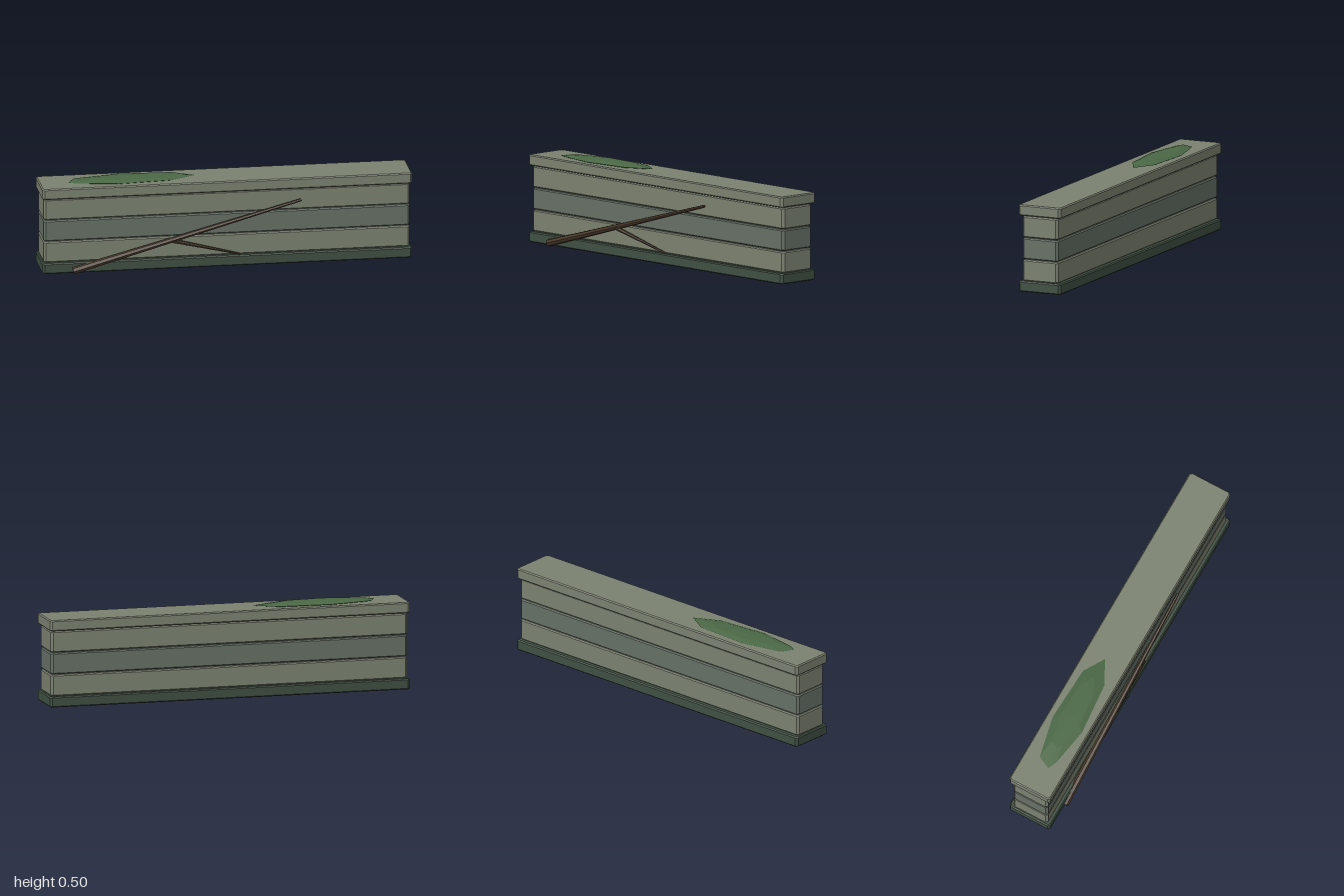
import * as THREE from 'three';

const mat = (color) => new THREE.MeshStandardMaterial({ color, flatShading: true });
const stone = mat(0x7b8270), midStone = mat(0x667066), plinthStone = mat(0x3f4f42);
const wood = mat(0x4a3a2b), moss = mat(0x4a6845);

// Stone slab with chamfered corners and edges, between heights y0 and y1
function slab(name, halfX, halfZ, y0, y1, material) {
  const c = 0.012, b = 0.006;
  const plan = new THREE.Shape([
    [halfX - c, -halfZ], [halfX, -halfZ + c], [halfX, halfZ - c], [halfX - c, halfZ],
    [-halfX + c, halfZ], [-halfX, halfZ - c], [-halfX, -halfZ + c], [-halfX + c, -halfZ],
  ].map(([x, y]) => new THREE.Vector2(x, y)));
  const geo = new THREE.ExtrudeGeometry(plan, {
    depth: y1 - y0 - 2 * b, bevelThickness: b, bevelSize: b, bevelOffset: -b, bevelSegments: 1,
  });
  geo.rotateX(-Math.PI / 2).translate(0, y0 + b, -0.01);
  const mesh = new THREE.Mesh(geo, material);
  mesh.name = name;
  return mesh;
}

// Tapered stick from one point to another
function stick(name, from, to, r0, r1) {
  const a = new THREE.Vector3(...from), b = new THREE.Vector3(...to);
  const dir = b.clone().sub(a);
  const mesh = new THREE.Mesh(new THREE.CylinderGeometry(r1, r0, dir.length(), 7), wood);
  mesh.position.copy(a).lerp(b, 0.5);
  mesh.quaternion.setFromUnitVectors(new THREE.Vector3(0, 1, 0), dir.normalize());
  mesh.name = name;
  return mesh;
}

// Low irregular mound: scaled copies of one outline, closed by a centre point at each end
function mossPatch() {
  const outline = [
    [-0.845, 0.02], [-0.8, 0.042], [-0.58, 0.08], [-0.29, 0.055],
    [-0.155, -0.015], [-0.27, -0.085], [-0.58, -0.1], [-0.81, -0.05],
  ];
  const cx = -0.51, cz = -0.01, n = outline.length;
  const rings = [[0, 0.481], [0.85, 0.481], [1, 0.487], [0.65, 0.497], [0, 0.5]];
  const pos = [], idx = [];
  for (const [s, y] of rings)
    for (const [x, z] of outline) pos.push(cx + (x - cx) * s, y, cz + (z - cz) * s);
  for (let r = 0; r < rings.length - 1; r++)
    for (let i = 0; i < n; i++) {
      const a = r * n + i, b = r * n + (i + 1) % n;
      if (r > 0) idx.push(a, b, a + n);
      if (r < rings.length - 2) idx.push(b, b + n, a + n);
    }
  const geo = new THREE.BufferGeometry();
  geo.setAttribute('position', new THREE.Float32BufferAttribute(pos, 3));
  geo.setIndex(idx);
  geo.computeVertexNormals();
  const mesh = new THREE.Mesh(geo, moss);
  mesh.name = 'mossPatch';
  return mesh;
}

export function createModel() {
  const group = new THREE.Group();
  group.name = 'stoneWall';

  // Plinth, three courses with thin gaps, and cap
  group.add(slab('plinth', 1, 0.125, 0.01, 0.068, plinthStone));
  for (let i = 0; i < 3; i++) {
    const y = 0.068 + i * 0.1185;
    group.add(slab('course' + (i + 1), 0.99, 0.105, y, y + 0.115, i === 1 ? midStone : stone));
  }
  group.add(slab('cap', 1, 0.125, 0.424, 0.483, stone));

  // Fallen branch leaning on the front, with a side twig
  group.add(stick('branch', [-0.835, 0.023, 0.117], [0.398, 0.365, 0.123], 0.02, 0.008));
  group.add(stick('twig', [-0.31, 0.17, 0.122], [0.07, 0.072, 0.105], 0.012, 0.005));

  group.add(mossPatch());
  return group;
}
